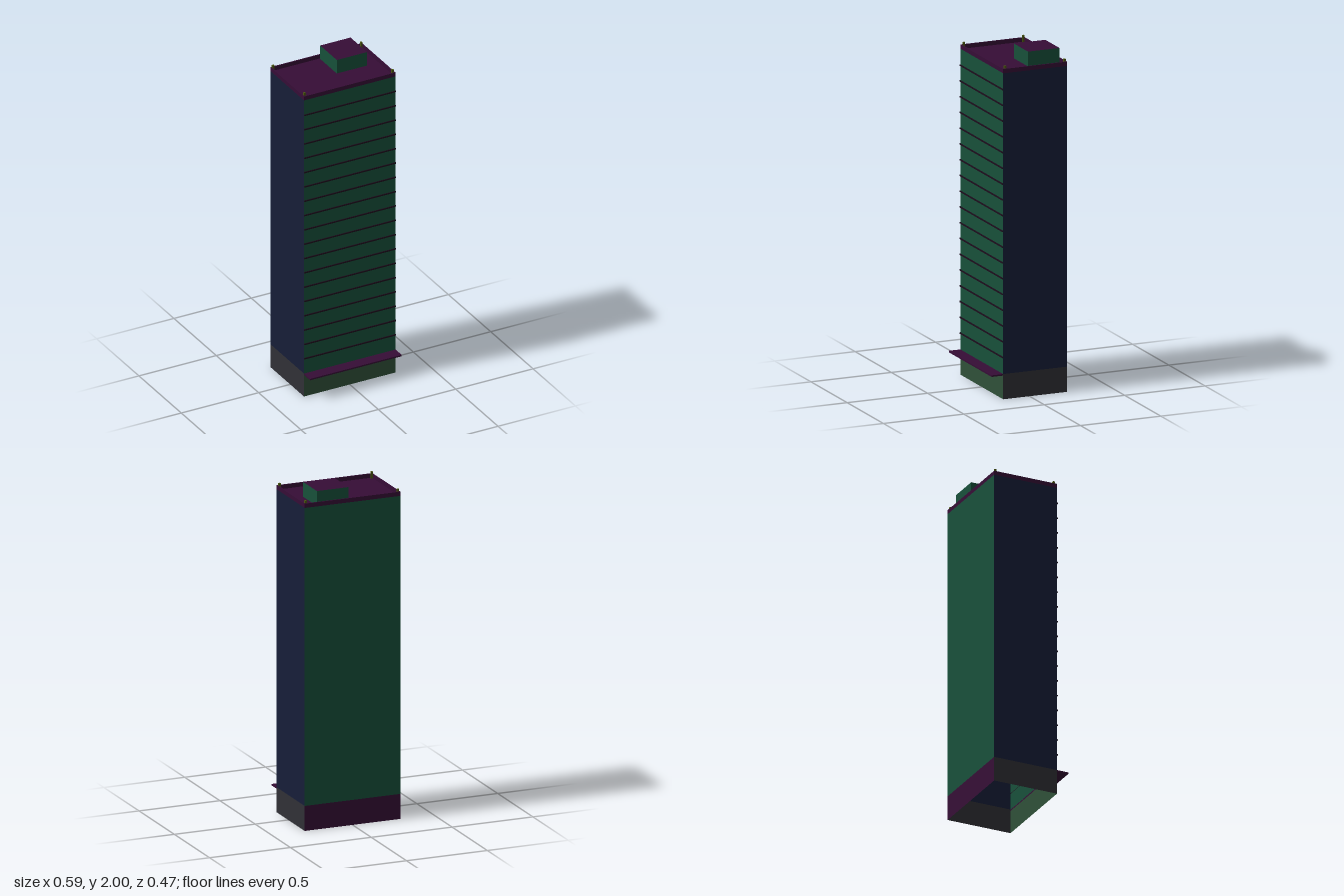
import * as THREE from 'three';

const mat = (color) => new THREE.MeshStandardMaterial({ color, side: THREE.DoubleSide });
const green = mat(0x17503a), navy = mat(0x161e38), purple = mat(0x360d36);
const olive = mat(0x2f5038), grey = mat(0x303036), dark = mat(0x1c0d1c), moss = mat(0x4a5510);

// Footprint of the tower
const X = 0.296, BACK = -0.235, FRONT = 0.163;
const DEPTH = FRONT - BACK, MID = (FRONT + BACK) / 2;
const BASE_TOP = 0.148, ROOF = 1.913, PARAPET_TOP = 1.938;

export function createModel() {
  const model = new THREE.Group();

  const add = (parent, name, geometry, material) => {
    const mesh = new THREE.Mesh(geometry, material);
    mesh.name = name;
    parent.add(mesh);
    return mesh;
  };

  // Box given by its minimum and maximum corners
  const box = (parent, name, [x0, y0, z0], [x1, y1, z1], material) => {
    const mesh = add(parent, name, new THREE.BoxGeometry(x1 - x0, y1 - y0, z1 - z0), material);
    mesh.position.set((x0 + x1) / 2, (y0 + y1) / 2, (z0 + z1) / 2);
  };

  // Four thin walls, open above and below
  const shell = (name, y0, y1, front, back, sides) => {
    const group = new THREE.Group();
    group.name = name;
    const wall = (part, width, x, z, turn, material) => {
      const mesh = add(group, part, new THREE.PlaneGeometry(width, y1 - y0), material);
      mesh.position.set(x, (y0 + y1) / 2, z);
      mesh.rotation.y = turn;
    };
    wall('frontWall', 2 * X, 0, FRONT, 0, front);
    wall('backWall', 2 * X, 0, BACK, Math.PI, back);
    wall('leftWall', DEPTH, X, MID, Math.PI / 2, sides);
    wall('rightWall', DEPTH, -X, MID, -Math.PI / 2, sides);
    model.add(group);
  };

  shell('groundFloor', 0, BASE_TOP, olive, purple, grey);
  shell('tower', BASE_TOP, ROOF, green, green, navy);

  // Entrance canopy
  box(model, 'canopy', [-X, 0.139, FRONT], [X, 0.148, 0.235], purple);

  // Floor ledges across the front
  for (let i = 0; i < 18; i++) {
    const y = 0.245 + i * 0.0925;
    box(model, 'floorLedge', [-X, y - 0.004, FRONT], [X, y + 0.004, 0.168], dark);
  }

  // Flat roof
  const roof = add(model, 'roof', new THREE.PlaneGeometry(2 * X, DEPTH), purple);
  roof.rotation.x = -Math.PI / 2;
  roof.position.set(0, ROOF, MID);

  // Parapet ring
  const t = 0.006;
  const rect = (Path, inset) => new Path([
    [-X + inset, -DEPTH / 2 + inset], [X - inset, -DEPTH / 2 + inset],
    [X - inset, DEPTH / 2 - inset], [-X + inset, DEPTH / 2 - inset],
  ].map(([x, y]) => new THREE.Vector2(x, y)));
  const ring = rect(THREE.Shape, 0);
  ring.holes.push(rect(THREE.Path, t));
  const parapet = add(model, 'parapet',
    new THREE.ExtrudeGeometry(ring, { depth: PARAPET_TOP - ROOF, bevelEnabled: false }), purple);
  parapet.rotation.x = -Math.PI / 2;
  parapet.position.set(0, ROOF, MID);

  // Corner posts inside the parapet
  for (const x of [-0.285, 0.285]) {
    for (const z of [-0.223, 0.147]) {
      box(model, 'cornerPost', [x - 0.006, ROOF, z - 0.006], [x + 0.006, 1.953, z + 0.006], moss);
    }
  }

  // Rooftop room with a purple top
  const room = add(model, 'rooftopRoom', new THREE.BoxGeometry(0.196, 2 - ROOF, 0.196),
    [green, green, purple, green, green, green]);
  room.position.set(0.118, (2 + ROOF) / 2, -0.125);

  return model;
}
